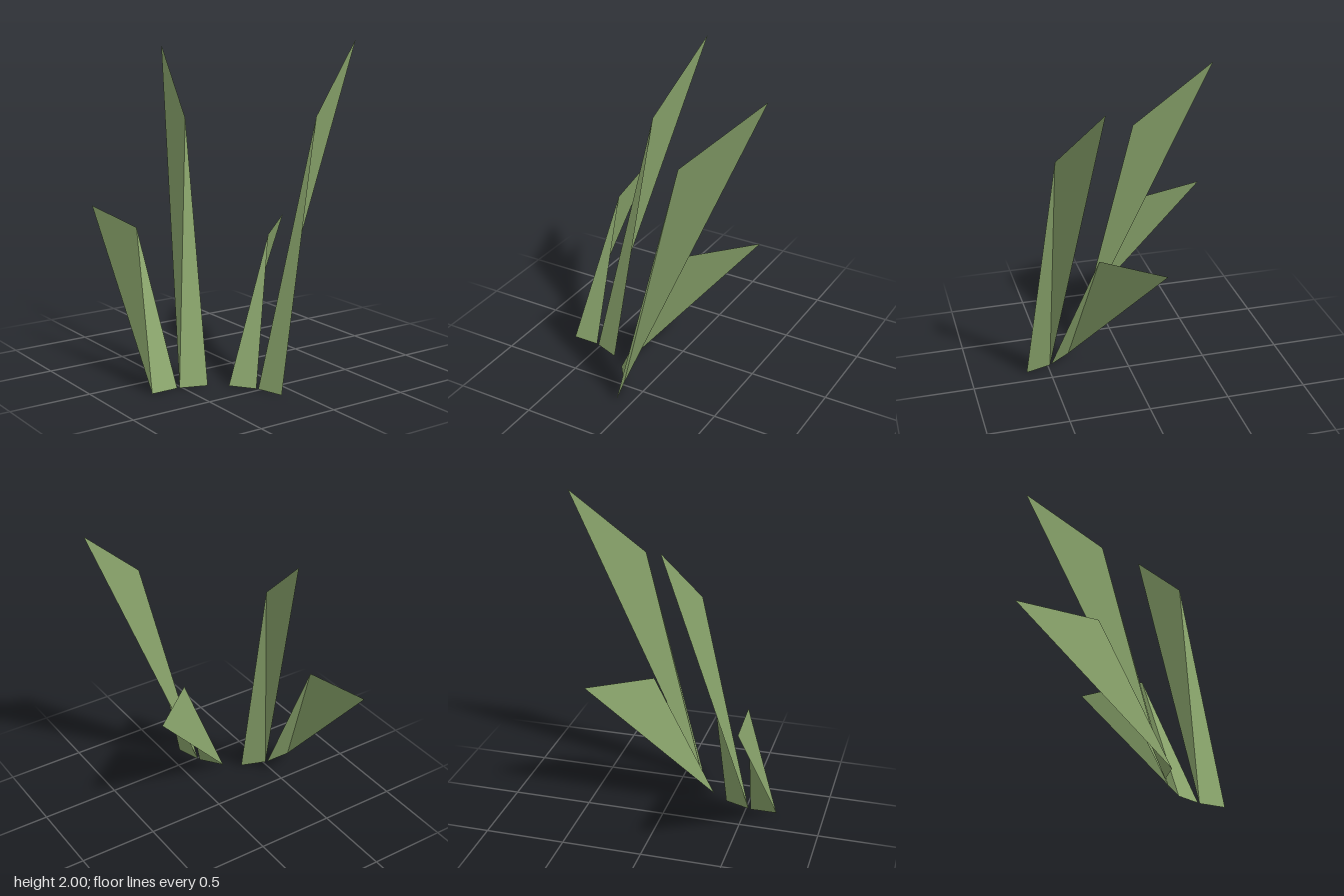
import * as THREE from 'three';

// One folded blade: a base triangle, then a tip triangle hinged on the long edge
function makeBlade(name, { baseLeft, baseRight, bend, tip }, material) {
  const corners = [baseLeft, baseRight, bend, baseLeft, bend, tip].flat();
  const geometry = new THREE.BufferGeometry();
  geometry.setAttribute('position', new THREE.Float32BufferAttribute(corners, 3));
  geometry.computeVertexNormals(); // unshared corners keep the fold crisp
  const mesh = new THREE.Mesh(geometry, material);
  mesh.name = name;
  return mesh;
}

export function createModel() {
  const group = new THREE.Group();
  group.name = 'grassTuft';

  const grassGreen = new THREE.MeshStandardMaterial({
    color: 0x8aa56c, side: THREE.DoubleSide, flatShading: true,
  });
  grassGreen.name = 'grassGreen';

  const blades = {
    shortBackBlade: {
      baseLeft: [-0.70, 0, 0.203], baseRight: [-0.53, 0, 0.203],
      bend: [-0.572, 0.903, -0.17], tip: [-0.612, 0.965, -0.647],
    },
    tallBackBlade: {
      baseLeft: [-0.516, 0, 0.207], baseRight: [-0.356, 0, 0.265],
      bend: [-0.268, 1.545, -0.10], tip: [-0.146, 1.95, -0.563],
    },
    shortFrontBlade: {
      baseLeft: [-0.256, 0, 0.34], baseRight: [-0.154, 0, 0.475],
      bend: [0.118, 0.845, 0.214], tip: [0.472, 0.876, -0.11],
    },
    tallFrontBlade: {
      baseLeft: [-0.147, 0, 0.485], baseRight: [-0.098, 0, 0.647],
      bend: [0.25, 1.577, 0.497], tip: [0.694, 2.0, 0.313],
    },
  };

  for (const [name, points] of Object.entries(blades)) {
    group.add(makeBlade(name, points, grassGreen));
  }
  return group;
}
